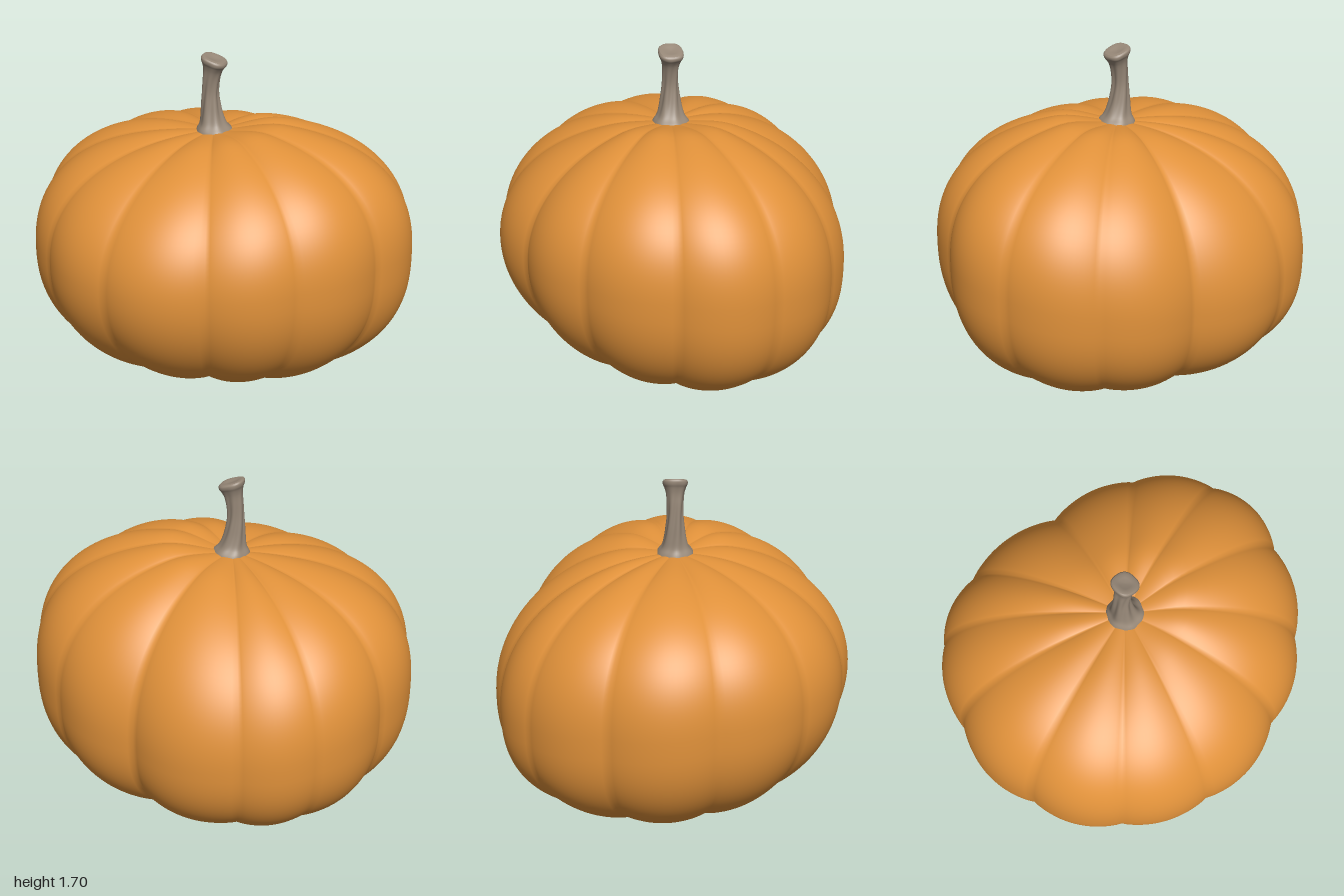
import * as THREE from 'three';

const orange = new THREE.MeshStandardMaterial({ name: 'pumpkin orange', color: 0xe0913a });
const brown = new THREE.MeshStandardMaterial({ name: 'stem grey brown', color: 0x968777 });
const AXIS = -0.04; // x of the stem axis

// Closed-around surface from rings listed bottom to top; point(i, j) gives [x, y, z]
function loft(rows, cols, point) {
  const pos = [], index = [];
  for (let i = 0; i < rows; i++) {
    for (let j = 0; j < cols; j++) {
      pos.push(...point(i, j));
      if (i === rows - 1) continue;
      const a = i * cols + j, b = i * cols + (j + 1) % cols;
      index.push(a, a + cols, b, b, a + cols, b + cols);
    }
  }
  const geo = new THREE.BufferGeometry();
  geo.setAttribute('position', new THREE.Float32BufferAttribute(pos, 3));
  geo.setIndex(index);
  geo.computeVertexNormals();
  return geo;
}

// Grooves around the body (x, z) and how far the lobe after each one bulges
const grooves = [
  [0.90, 0.18, 0.03], [0.64, 0.58, 0.03], [0.25, 0.80, 0.035], [-0.26, 0.85, 0.025],
  [-0.67, 0.64, 0.03], [-0.92, 0.23, 0.04], [-0.92, -0.30, 0.025], [-0.72, -0.69, 0.03],
  [-0.38, -0.87, 0.035], [0.18, -0.82, 0.03], [0.65, -0.66, 0.03], [0.93, -0.30, 0.05],
].map(([x, z, bulge]) => {
  const angle = Math.atan2(z, x - AXIS);
  return { angle: angle < 0.1 ? angle + 2 * Math.PI : angle, r: Math.hypot(x - AXIS, z), bulge };
});

function bodyGeometry() {
  const perLobe = 18, rows = 73, cols = perLobe * grooves.length;
  return loft(rows, cols, (i, j) => {
    // outline of this lobe
    const k = Math.floor(j / perLobe), t = (j % perLobe) / perLobe;
    const g = grooves[k], next = grooves[(k + 1) % grooves.length];
    const nextAngle = next.angle + (next.angle < g.angle ? 2 * Math.PI : 0);
    const a = THREE.MathUtils.lerp(g.angle, nextAngle, t);
    const lobe = Math.sin(Math.PI * t) ** 0.8;
    const radius = THREE.MathUtils.lerp(g.r, next.r, t) + g.bulge * lobe;

    // uneven superellipse profile: right side is taller, back sags lower
    const c = Math.cos(a), s = Math.sin(a);
    const v = (i / (rows - 1) - 0.5) * Math.PI, up = v >= 0;
    const n = up ? 2.1 + 0.45 * c * c : 2.25 + 0.15 * c * c - 0.25 * s;
    const rho = Math.max(Math.cos(v), 1e-4) ** (2 / n);
    const h = Math.abs(Math.sin(v)) ** (2 / n);
    const belly = 0.64 + 0.035 * c * c + 0.025 * c + 0.065 * s;
    const w = THREE.MathUtils.smoothstep(rho, 0, 0.36);
    const end = up
      ? THREE.MathUtils.lerp(1.3, 1.33 + 0.033 * c + 0.012 * c * c, w)
      : THREE.MathUtils.lerp(0.06, -0.012 - 0.012 * c * c + 0.008 * s, w);
    const y = belly + (end - belly) * h * (1 - 0.025 * (1 - lobe) * w);
    return [AXIS + radius * rho * c, y, radius * rho * s];
  });
}

// Stem rings: height, radius, x
const stemRings = [
  [1.27, 0.105, -0.035], [1.305, 0.092, -0.035], [1.335, 0.07, -0.042], [1.38, 0.056, -0.05],
  [1.44, 0.046, -0.056], [1.5, 0.04, -0.058], [1.56, 0.041, -0.054], [1.61, 0.046, -0.046],
  [1.64, 0.056, -0.04], [1.655, 0.064, -0.038], [1.67, 0.065, -0.037], [1.678, 0.059, -0.037],
];

function stemPoint([y, r, x], j, cols) {
  const a = (j / cols) * 2 * Math.PI;
  const grow = (y - 1.27) / 0.4;
  const ridge = 1 + 0.09 * Math.sin(Math.PI * Math.min(grow, 1)) * Math.cos(6 * (a + grow * 0.9))
    + 0.04 * grow * Math.cos(4 * a + Math.PI);
  const dx = r * ridge * Math.cos(a);
  return [x + dx, y - 0.3 * dx * grow * grow, r * ridge * Math.sin(a)];
}

export function createModel() {
  const group = new THREE.Group();
  const add = (name, geo, mat) => {
    const mesh = new THREE.Mesh(geo, mat);
    mesh.name = name;
    group.add(mesh);
    return mesh;
  };

  add('pumpkinBody', bodyGeometry(), orange);

  // twisted, ridged stem with a slanted cut end
  const cols = 60;
  const curve = new THREE.CatmullRomCurve3(stemRings.map(p => new THREE.Vector3(...p)));
  const rings = curve.getPoints(44).map(p => p.toArray());
  add('stem', loft(rings.length, cols, (i, j) => stemPoint(rings[i], j, cols)), brown);
  const rim = stemRings[stemRings.length - 1];
  const capRings = [rim, [1.682, 0.045, rim[2]], [1.676, 0.03, rim[2]], [1.674, 0.0005, rim[2]]];
  add('stemCutEnd', loft(capRings.length, cols, (i, j) => stemPoint(capRings[i], j, cols)), brown);

  // blossom scar underneath
  const scar = add('blossomScar', new THREE.TorusGeometry(0.06, 0.012, 10, 36), orange);
  scar.rotation.x = Math.PI / 2;
  scar.position.set(AXIS, 0.05, 0);

  return group;
}
